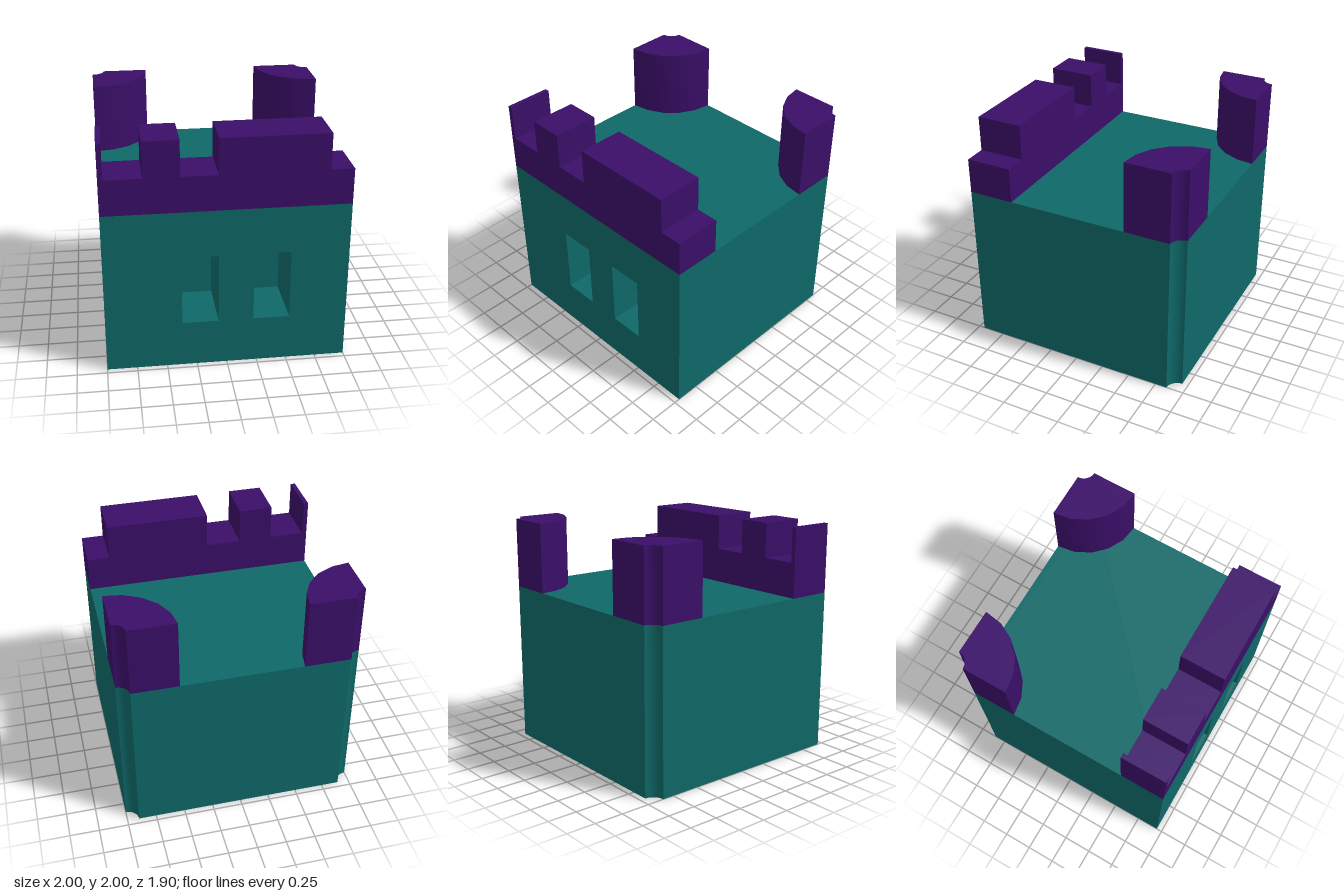
import * as THREE from 'three';
import { toCreasedNormals } from 'three/addons/utils/BufferGeometryUtils.js';

const HALF = 0.95; // half depth
const BODY_H = 1.4;
const TOP = 2;
const NOTCH = 0.1; // radius of the scooped back corners

// Extrudes a floor plan (plan y = -z) upwards from y0 to y1.
function extrudeUp(points, y0, y1) {
  const geo = new THREE.ExtrudeGeometry(new THREE.Shape(points), { depth: y1 - y0, bevelEnabled: false });
  geo.rotateX(-Math.PI / 2).translate(0, y0, 0);
  return geo;
}

// Quarter arc around the back corner on side s, from the back edge to the side edge.
function cornerArc(s, radius, steps) {
  return Array.from({ length: steps + 1 }, (_, i) => {
    const a = (i / steps) * Math.PI / 2;
    return new THREE.Vector2(s * (1 - radius * Math.cos(a)), HALF - radius * Math.sin(a));
  });
}

// Removes the triangles lying in the plane z, leaving the solid open there.
function openAt(geometry, z) {
  const src = geometry.index ? geometry.toNonIndexed() : geometry;
  const p = src.attributes.position;
  const kept = [];
  for (let i = 0; i < p.count; i += 3) {
    const flat = [0, 1, 2].every((k) => Math.abs(p.getZ(i + k) - z) < 1e-4);
    if (flat) continue;
    for (let k = 0; k < 3; k++) kept.push(p.getX(i + k), p.getY(i + k), p.getZ(i + k));
  }
  const out = new THREE.BufferGeometry();
  out.setAttribute('position', new THREE.Float32BufferAttribute(kept, 3));
  out.computeVertexNormals();
  return out;
}

function rectPath(x0, x1, y0, y1) {
  return new THREE.Path([[x0, y0], [x0, y1], [x1, y1], [x1, y0]].map(([x, y]) => new THREE.Vector2(x, y)));
}

export function createModel() {
  const group = new THREE.Group();
  const teal = new THREE.MeshStandardMaterial({ color: 0x0f6868 });
  const purple = new THREE.MeshStandardMaterial({ color: 0x3a0e68 });
  const add = (name, geo, material) => {
    const mesh = new THREE.Mesh(geo, material);
    mesh.name = name;
    group.add(mesh);
  };

  // Main block with scooped back corners, open at the front
  const plan = [
    new THREE.Vector2(-1, -HALF),
    new THREE.Vector2(1, -HALF),
    ...cornerArc(1, NOTCH, 12).reverse(),
    ...cornerArc(-1, NOTCH, 12),
  ];
  add('body', toCreasedNormals(openAt(extrudeUp(plan, 0, BODY_H), HALF), 0.6), teal);

  // Front face with two window openings, each backed by a recess
  const front = new THREE.Shape([
    new THREE.Vector2(-1, 0), new THREE.Vector2(1, 0),
    new THREE.Vector2(1, BODY_H), new THREE.Vector2(-1, BODY_H),
  ]);
  const recessDepth = 0.5;
  for (const [name, x0] of [['rightWindow', -0.37], ['leftWindow', 0.22]]) {
    front.holes.push(rectPath(x0, x0 + 0.3, 0.4, 1));
    const recess = new THREE.BoxGeometry(0.3, 0.6, recessDepth);
    recess.scale(1, 1, -1); // mirrored so its faces look inwards
    recess.translate(x0 + 0.15, 0.7, HALF - recessDepth / 2);
    add(name, openAt(recess, HALF), teal);
  }
  add('frontFace', new THREE.ShapeGeometry(front).translate(0, 0, HALF), teal);

  // Battlement along the front, with three gaps cut into its top
  const gapY = 1.7;
  const outline = [[-1, BODY_H], [1, BODY_H], [1, gapY], [0.81, gapY], [0.81, TOP]];
  for (const [x0, x1] of [[-0.37, -0.07], [-0.96, -0.66]]) {
    outline.push([x1, TOP], [x1, gapY], [x0, gapY], [x0, TOP]);
  }
  outline.push([-1, TOP]);
  const wallDepth = 0.39;
  const wall = new THREE.ExtrudeGeometry(
    new THREE.Shape(outline.map(([x, y]) => new THREE.Vector2(x, y))),
    { depth: wallDepth, bevelEnabled: false },
  );
  add('battlement', wall.translate(0, 0, HALF - wallDepth), purple);

  // Quarter-round towers on the back corners
  for (const [name, s] of [['leftTower', 1], ['rightTower', -1]]) {
    const towerPlan = [...cornerArc(s, 0.49, 5), ...cornerArc(s, NOTCH, 12).reverse()];
    add(name, toCreasedNormals(extrudeUp(towerPlan, BODY_H, TOP), 0.6), purple);
  }

  return group;
}
